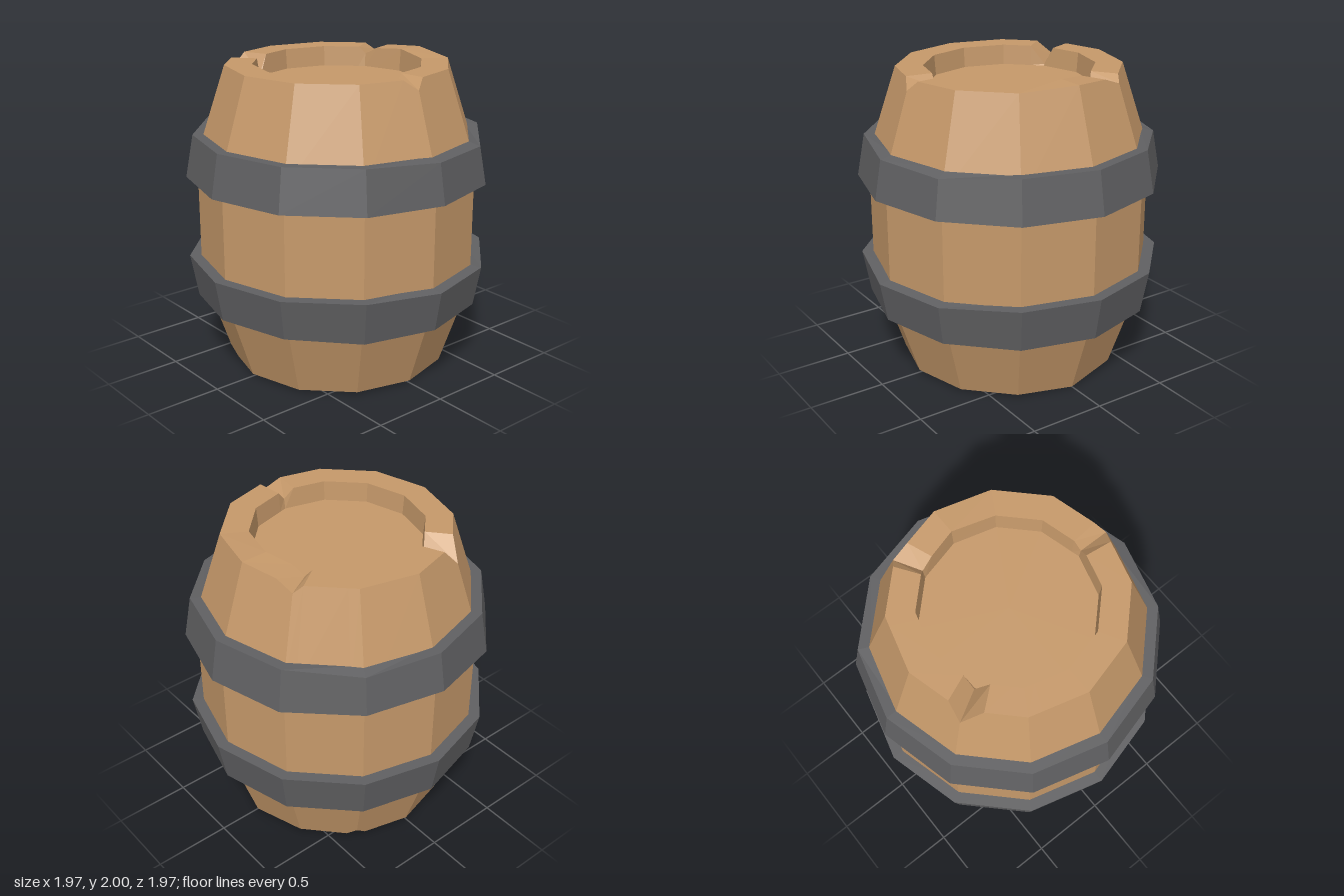
import * as THREE from 'three';

const SIDES = 12, STEP = 360 / SIDES;
const woodMat = new THREE.MeshStandardMaterial({ color: 0xc6996a, flatShading: true });
const ironMat = new THREE.MeshStandardMaterial({ color: 0x606062, flatShading: true });

// Point on a 12-sided ring; angle in degrees from +z towards +x
function ringPoint(deg, r, y) {
  const half = STEP / 2, local = ((deg % STEP) + STEP) % STEP - half;
  const rr = r * Math.cos(THREE.MathUtils.degToRad(half)) / Math.cos(THREE.MathUtils.degToRad(local));
  const a = THREE.MathUtils.degToRad(deg);
  return [rr * Math.sin(a), y, rr * Math.cos(a)];
}

// Revolve a section around y, where section(angle) gives [radius, height] pairs
function facetedLathe(angles, section) {
  const cols = angles.map(a => section(a).map(([r, y]) => ringPoint(a, r, y)));
  const pos = [];
  cols.forEach((c, i) => {
    const n = cols[(i + 1) % cols.length];
    for (let p = 0; p < c.length - 1; p++) {
      const nearAxis = q => Math.hypot(q[0], q[2]) < 1e-6;
      if (!nearAxis(c[p])) pos.push(...c[p], ...n[p], ...n[p + 1]);
      if (!nearAxis(c[p + 1])) pos.push(...c[p], ...n[p + 1], ...c[p + 1]);
    }
  });
  const g = new THREE.BufferGeometry();
  g.setAttribute('position', new THREE.Float32BufferAttribute(pos, 3));
  g.computeVertexNormals();
  return g;
}

// Piecewise linear value around the ring from [angle, value] keys
function around(keys, deg) {
  for (let i = 0; i < keys.length - 1; i++) {
    const [a, va] = keys[i], [b, vb] = keys[i + 1];
    if (deg >= a && deg <= b) return va + (vb - va) * (deg - a) / (b - a);
  }
  return 0;
}

// How far the rims are cut in: V-shaped chips, and one slightly proud stave
const topCuts = [[0, 0.065], [5.5, 0], [60, 0], [90, -0.015], [110.5, 0], [120, 0.045], [124.5, 0],
  [202.5, 0], [210, 0.12], [220, 0], [353, 0], [360, 0.065]];
const bottomCuts = [[60, 0], [90, -0.015], [120, 0.025], [145, 0.005], [150, 0.06], [155, 0],
  [234, 0], [240, 0.05], [247, 0]];

function makeBody() {
  const set = new Set([...topCuts, ...bottomCuts].map(k => k[0] % 360));
  for (let i = 0; i < SIDES; i++) set.add(i * STEP);
  const angles = [...set].sort((a, b) => a - b);
  const slope = 0.33;
  const geometry = facetedLathe(angles, a => {
    const b = around(bottomCuts, a), t = around(topCuts, a);
    return [
      [0, 0.145], [0.535, 0.145],                                    // bottom recess
      [0.545, 0.015 + b], [0.72 + slope * b, 0.015 + b],             // bottom rim
      [0.91, 0.59], [0.91, 1.41],                                    // belly
      [0.72 + slope * t, 1.985 - t], [0.545, 1.985 - t],             // top rim
      [0.535, 1.855], [0, 1.855]                                     // lid
    ];
  });
  const mesh = new THREE.Mesh(geometry, woodMat);
  mesh.name = 'barrelBody';
  return mesh;
}

// Hoop with small dents on its top and bottom outer edges, keyed by corner angle
function makeHoop(name, y0, y1, r0, r1, topDents, bottomDents) {
  const angles = Array.from({ length: SIDES }, (_, i) => i * STEP);
  const geometry = facetedLathe(angles, a => {
    const lo = bottomDents[a] || 0, hi = topDents[a] || 0;
    const grow = (r1 - r0) / (y1 - y0);
    const bottom = [r0 + grow * lo, y0 + lo];
    return [bottom, [r1 - grow * hi, y1 - hi], [0.85, y1], [0.85, y0], bottom];
  });
  const mesh = new THREE.Mesh(geometry, ironMat);
  mesh.name = name;
  return mesh;
}

export function createModel() {
  const barrel = new THREE.Group();
  barrel.name = 'barrel';
  barrel.add(
    makeBody(),
    makeHoop('lowerHoop', 0.45, 0.73, 0.935, 0.985, { 0: 0.02, 30: 0.018 }, { 270: 0.012, 300: 0.015 }),
    makeHoop('upperHoop', 1.27, 1.545, 0.985, 0.935, { 0: 0.02, 30: 0.03, 150: 0.02 }, { 150: 0.01, 180: 0.02 })
  );
  return barrel;
}
